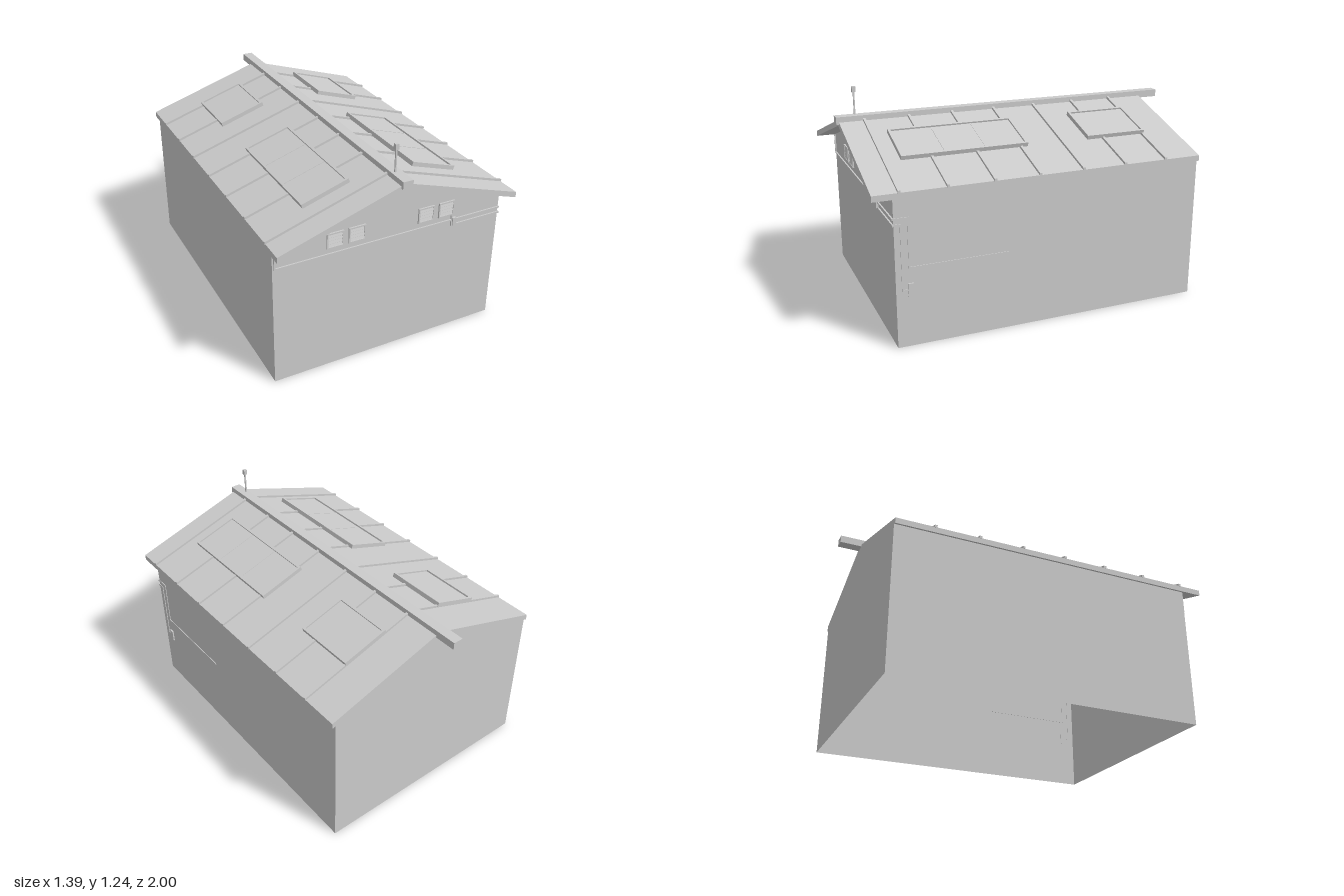
import * as THREE from 'three';

const SLOPE = 0.32, ANGLE = Math.atan(SLOPE);
const HALF_W = 0.672, HALF_D = 0.877;
const mat = new THREE.MeshStandardMaterial({ color: 0xcccccc, flatShading: true });
const thinMat = new THREE.MeshStandardMaterial({ color: 0xcccccc, flatShading: true, side: THREE.DoubleSide });

function add(parent, name, geometry, material = mat) {
  const mesh = new THREE.Mesh(geometry, material);
  mesh.name = name;
  parent.add(mesh);
  return mesh;
}

// Box given by its minimum and maximum corners
function box(parent, name, [x0, y0, z0], [x1, y1, z1]) {
  const mesh = add(parent, name, new THREE.BoxGeometry(x1 - x0, y1 - y0, z1 - z0));
  mesh.position.set((x0 + x1) / 2, (y0 + y1) / 2, (z0 + z1) / 2);
  return mesh;
}

function polygon(points) {
  return new THREE.Shape(points.map(([x, y]) => new THREE.Vector2(x, y)));
}

// Gable-shaped slab running along z
function chevron(parent, name, apex, thick, halfX, z0, z1) {
  const eave = apex - SLOPE * halfX;
  const shape = polygon([[-halfX, eave - thick], [0, apex - thick], [halfX, eave - thick],
    [halfX, eave], [0, apex], [-halfX, eave]]);
  const geometry = new THREE.ExtrudeGeometry(shape, { depth: z1 - z0, bevelEnabled: false });
  add(parent, name, geometry.translate(0, 0, z0));
}

// Framed roof panel with recessed glass cells
function roofPanel(parent, side, z0, z1, cells) {
  const w = 0.276, d = z1 - z0, rim = 0.014;
  const x = side > 0 ? 0.305 : -0.318;
  const panel = new THREE.Group();
  panel.name = 'roofPanel';
  panel.position.set(x, 1.06 - SLOPE * Math.abs(x), (z0 + z1) / 2);
  panel.rotation.z = -side * ANGLE;
  const rect = (hx, hy) => [[-hx, -hy], [hx, -hy], [hx, hy], [-hx, hy]];
  const shape = polygon(rect(w / 2, d / 2));
  shape.holes.push(polygon(rect(w / 2 - rim, d / 2 - rim)));
  const frame = new THREE.ExtrudeGeometry(shape, { depth: 0.024, bevelEnabled: false });
  add(panel, 'panelFrame', frame.rotateX(-Math.PI / 2).translate(0, 0.005, 0));
  const hw = w / 2 - rim, cell = (d - 2 * rim) / cells;
  for (let i = 0; i < cells; i++) {
    const start = -d / 2 + rim + i * cell;
    box(panel, 'panelGlass', [-hw, 0.006, start], [hw, 0.02, start + cell]);
    if (i) box(panel, 'panelDivider', [-hw, 0.006, start - 0.003], [hw, 0.022, start + 0.003]);
  }
  parent.add(panel);
}

// Louvred gable vent
function vent(parent, x) {
  const g = new THREE.Group();
  g.name = 'gableVent';
  g.position.set(x, 0.776, HALF_D);
  const hw = 0.048, hh = 0.044, t = 0.008, front = 0.009;
  box(g, 'ventBack', [-hw, -hh, -0.004], [hw, hh, 0.002]);
  for (const s of [-1, 1]) {
    const cx = s * (hw - t / 2), cy = s * (hh - t / 2);
    box(g, 'ventSide', [cx - t / 2, -hh, 0], [cx + t / 2, hh, front]);
    box(g, 'ventRail', [-hw + t, cy - t / 2, 0], [hw - t, cy + t / 2, front]);
  }
  for (let i = 0; i < 4; i++) {
    const y = -0.027 + i * 0.018;
    const slat = box(g, 'ventSlat', [-hw + t, y - 0.007, 0.003], [hw - t, y + 0.007, 0.006]);
    slat.rotation.x = -0.35;
  }
  parent.add(g);
}

export function createModel() {
  const model = new THREE.Group();
  model.name = 'gabledBuilding';

  // Thin walls, open underneath
  const wallTop = 1.03 - SLOPE * HALF_W;
  const gable = polygon([[-HALF_W, 0], [HALF_W, 0], [HALF_W, wallTop], [0, 1.03], [-HALF_W, wallTop]]);
  for (const s of [-1, 1]) {
    const end = add(model, s > 0 ? 'frontWall' : 'backWall', new THREE.ShapeGeometry(gable), thinMat);
    end.position.z = s * HALF_D;
    if (s < 0) end.rotation.y = Math.PI;
    const side = add(model, 'sideWall', new THREE.PlaneGeometry(2 * HALF_D, wallTop), thinMat);
    side.position.set(s * HALF_W, wallTop / 2, 0);
    side.rotation.y = s * Math.PI / 2;
  }

  // Roof, standing seams and ridge beam
  chevron(model, 'roof', 1.06, 0.032, 0.692, -HALF_D, 0.985);
  for (let i = 0; i < 7; i++) {
    const z = -0.659 + i * 0.251;
    chevron(model, 'roofSeam', 1.073, 0.015, 0.695, z - 0.007, z + 0.007);
  }
  box(model, 'ridgeBeam', [-0.029, 1.038, -1], [0.029, 1.08, 1]);

  for (const side of [-1, 1]) {
    roofPanel(model, side, 0.055, 0.762, 3);
    roofPanel(model, side, -0.668, -0.308, 1);
  }

  for (const x of [-0.33, -0.207, 0.202, 0.327]) vent(model, x);

  // Mast at the front of the ridge
  box(model, 'mast', [-0.012, 1.07, 0.886], [-0.004, 1.21, 0.894]);
  box(model, 'mastHead', [-0.018, 1.204, 0.88], [0.002, 1.235, 0.9]);

  // Conduits on the front wall
  const f0 = HALF_D - 0.002, f1 = HALF_D + 0.008;
  box(model, 'frontConduit', [-0.664, 0.695, f0], [-0.656, 0.82, f1]);
  box(model, 'frontConduit', [-0.664, 0.695, f0], [HALF_W, 0.704, f1]);
  box(model, 'frontConduit', [0.362, 0.662, f0], [0.37, 0.735, f1]);
  box(model, 'frontConduit', [0.362, 0.662, f0], [HALF_W, 0.672, f1]);
  box(model, 'junctionBox', [0.368, 0.668, f0], [0.39, 0.714, f1 + 0.006]);

  // Conduits and switch box on the side wall
  const s0 = HALF_W - 0.002, s1 = HALF_W + 0.004;
  box(model, 'sideConduit', [s0, 0.662, 0.84], [s1, 0.672, f1]);
  box(model, 'sideConduit', [s0, 0.31, 0.838], [s1, 0.672, 0.846]);
  box(model, 'sideConduit', [s0, 0.31, 0.805], [s1, 0.318, 0.846]);
  box(model, 'sideConduit', [s0, 0.695, 0.8], [s1, 0.704, f1]);
  box(model, 'sideConduit', [s0, 0.43, 0.8], [s1, 0.704, 0.808]);
  box(model, 'sideConduit', [s0, 0.43, 0.26], [s1, 0.438, 0.808]);
  box(model, 'switchBox', [s0, 0.28, 0.785], [HALF_W + 0.008, 0.35, 0.815]);

  return model;
}
